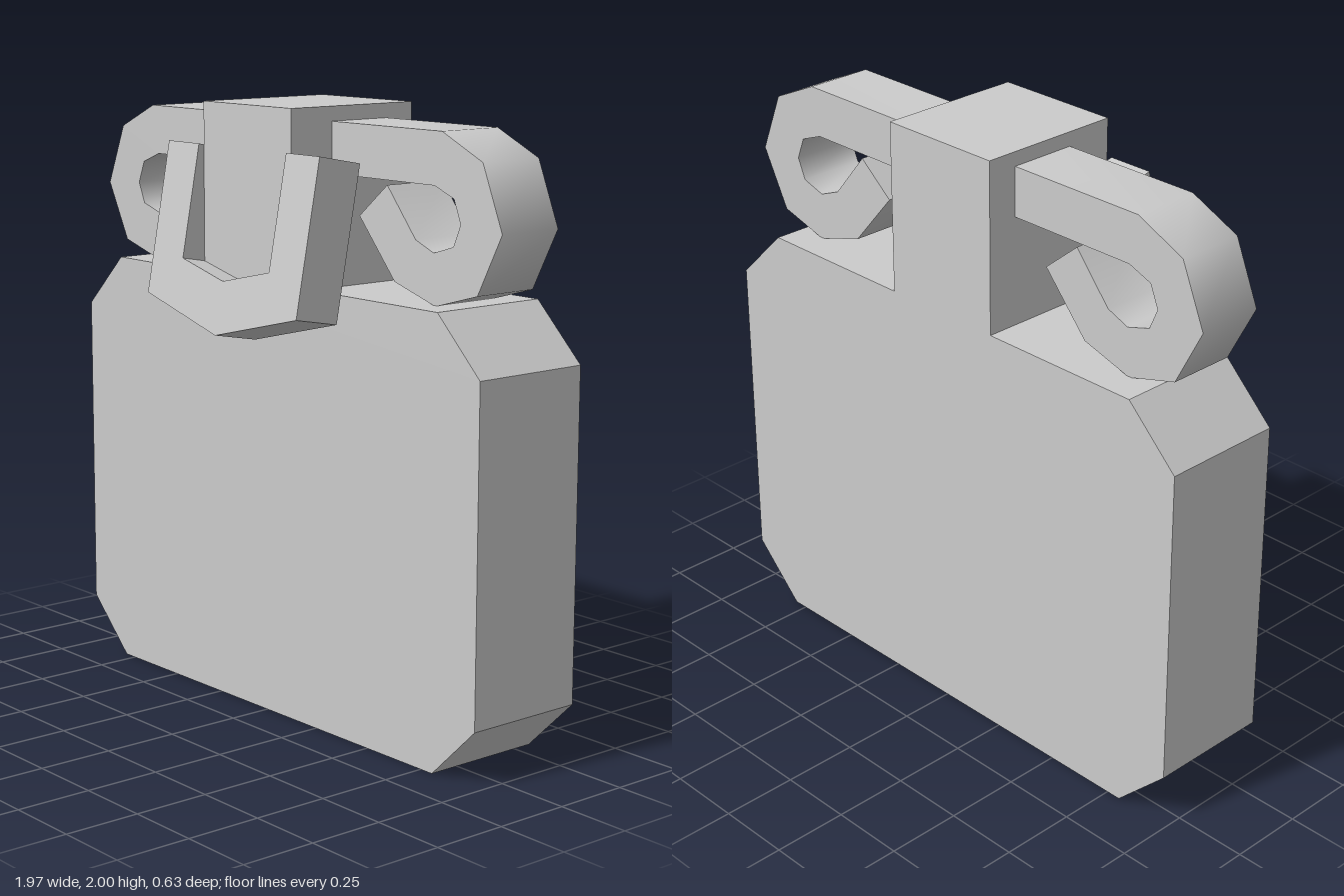
import * as THREE from 'three';
import { toCreasedNormals } from 'three/addons/utils/BufferGeometryUtils.js';

const material = new THREE.MeshStandardMaterial({ color: 0xcccccc });

// Extrude an outline of [x, y] points from z0 to z1, smoothing edges below the crease angle.
function slab(name, points, z0, z1, crease = 0.1) {
  const shape = new THREE.Shape(points.map(([x, y]) => new THREE.Vector2(x, y)));
  const geometry = new THREE.ExtrudeGeometry(shape, { depth: z1 - z0, bevelEnabled: false });
  geometry.translate(0, 0, z0);
  const mesh = new THREE.Mesh(toCreasedNormals(geometry, crease), material);
  mesh.name = name;
  return mesh;
}

const mirrored = (points) => points.map(([x, y]) => [-x, y]);
// Complete a symmetric outline from its +x half.
const symmetric = (half) => [...half, ...mirrored(half).reverse().filter(([x]) => x !== 0)];

export function createModel() {
  const model = new THREE.Group();
  model.name = 'claspedCase';

  // Block body with four cut corners
  model.add(slab('body', symmetric([
    [0.8, 0], [0.985, 0.18], [0.985, 1.25], [0.8, 1.43],
  ]), -0.315, 0.105));

  // Central post that holds the handle
  const post = new THREE.Mesh(new THREE.BoxGeometry(0.44, 0.57, 0.5), material);
  post.name = 'post';
  post.position.set(0, 1.715, -0.065);
  model.add(post);

  // Curled hooks on either side of the post
  const hook = [
    [0, 1.953], [0.72, 1.953], [0.895, 1.873], [0.98, 1.67], [0.88, 1.478], [0.7, 1.427],
    [0.517, 1.482], [0.353, 1.67], [0.48, 1.775], [0.61, 1.62], [0.69, 1.588], [0.775, 1.614],
    [0.805, 1.683], [0.775, 1.757], [0.69, 1.79], [0, 1.79],
  ];
  model.add(slab('leftHook', hook, -0.21, 0.02, 0.95));
  model.add(slab('rightHook', mirrored(hook), -0.21, 0.02, 0.95));

  // Tilted U-shaped latch, hung from its top front edge
  const latch = slab('latch', symmetric([
    [0, -0.595], [0.38, -0.5], [0.38, 0], [0.22, 0], [0.22, -0.371], [0, -0.422],
  ]), -0.165, 0);
  latch.position.set(0, 1.865, 0.205);
  latch.rotation.x = -0.186;
  model.add(latch);

  return model;
}
